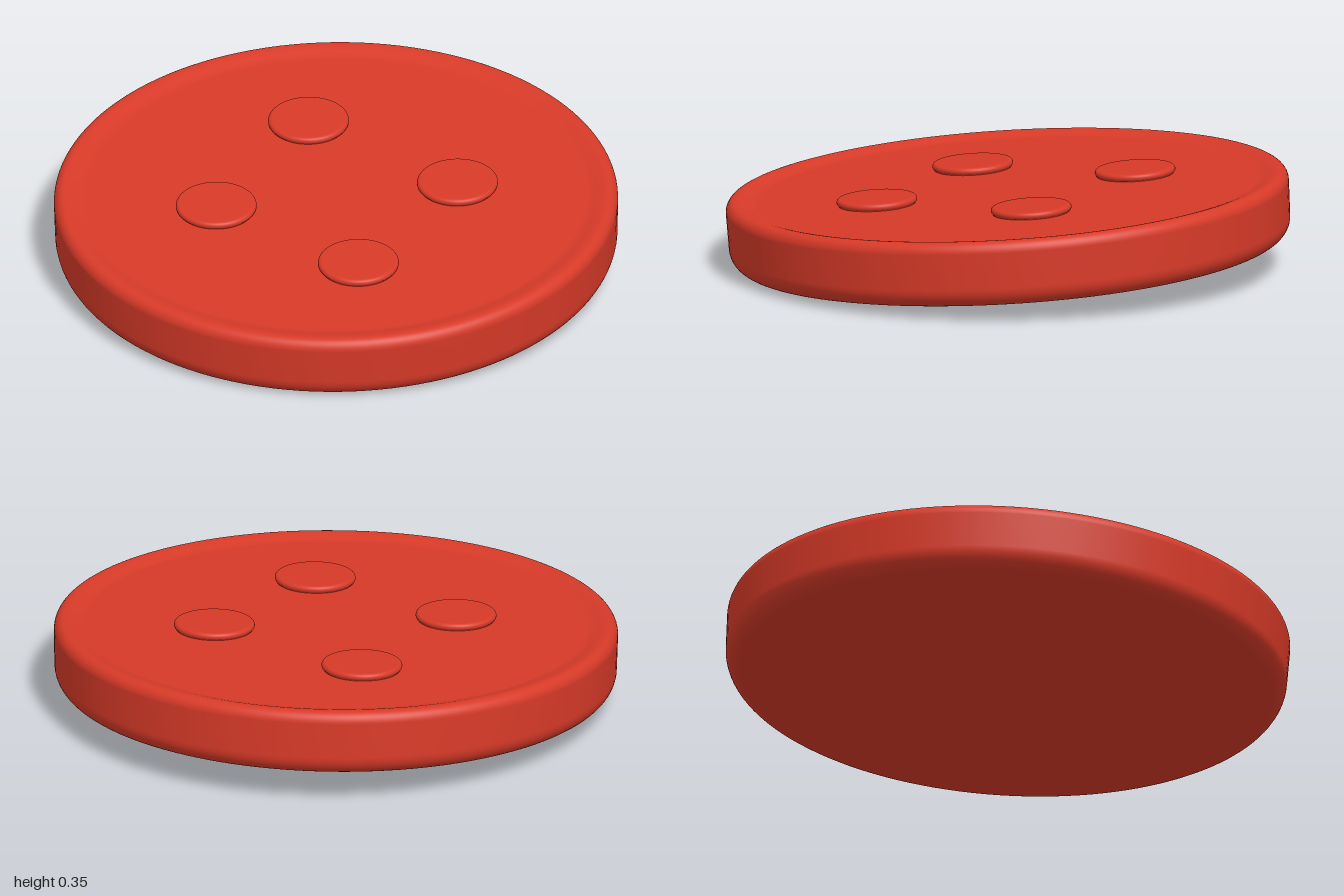
import * as THREE from 'three';

// Adds a quarter-like arc of profile points (angles in degrees)
function arc(points, cx, cy, rx, ry, from, to, steps = 10) {
  for (let i = 0; i <= steps; i++) {
    const a = THREE.MathUtils.degToRad(from + ((to - from) * i) / steps);
    points.push(new THREE.Vector2(cx + rx * Math.cos(a), cy + ry * Math.sin(a)));
  }
}

export function createModel() {
  const model = new THREE.Group();
  const red = new THREE.MeshStandardMaterial({ color: 0xd83a28 });

  // The whole disc leans gently towards the front and the left
  const disc = new THREE.Group();
  disc.name = 'tiltedDisc';
  disc.position.y = 0.178;
  disc.quaternion.setFromUnitVectors(
    new THREE.Vector3(0, 1, 0),
    new THREE.Vector3(0.022, 1, 0.057).normalize()
  );
  model.add(disc);

  // Body: flat base, rounded wall, soft rim and a shallow dished top
  const profile = [new THREE.Vector2(0, -0.119), new THREE.Vector2(0.9, -0.119)];
  arc(profile, 0.93, -0.049, 0.065, 0.07, -90, 0);
  arc(profile, 0.963, 0.078, 0.035, 0.04, 0, 90);
  const rimY = 0.118, floorY = 0.103;
  for (let i = 1; i <= 10; i++) {
    const t = i / 10;
    const drop = t * t * (3 - 2 * t);
    profile.push(new THREE.Vector2(0.963 - 0.075 * t, rimY - (rimY - floorY) * drop));
  }
  profile.push(new THREE.Vector2(0.87, floorY), new THREE.Vector2(0, floorY));
  const body = new THREE.Mesh(new THREE.LatheGeometry(profile, 128), red);
  body.name = 'discBody';
  disc.add(body);

  // Four low round studs with softened edges
  const studProfile = [new THREE.Vector2(0.136, -0.01)];
  arc(studProfile, 0.13, 0.013, 0.013, 0.013, -60, 90, 12);
  studProfile.push(new THREE.Vector2(0.12, 0.026), new THREE.Vector2(0, 0.026));
  const studGeometry = new THREE.LatheGeometry(studProfile, 64);
  const places = [[-0.318, -0.352], [0.345, -0.262], [-0.322, 0.288], [0.305, 0.364]];
  places.forEach(([x, z], i) => {
    const stud = new THREE.Mesh(studGeometry, red);
    stud.name = `stud${i + 1}`;
    stud.position.set(x, floorY, z);
    disc.add(stud);
  });

  return model;
}
